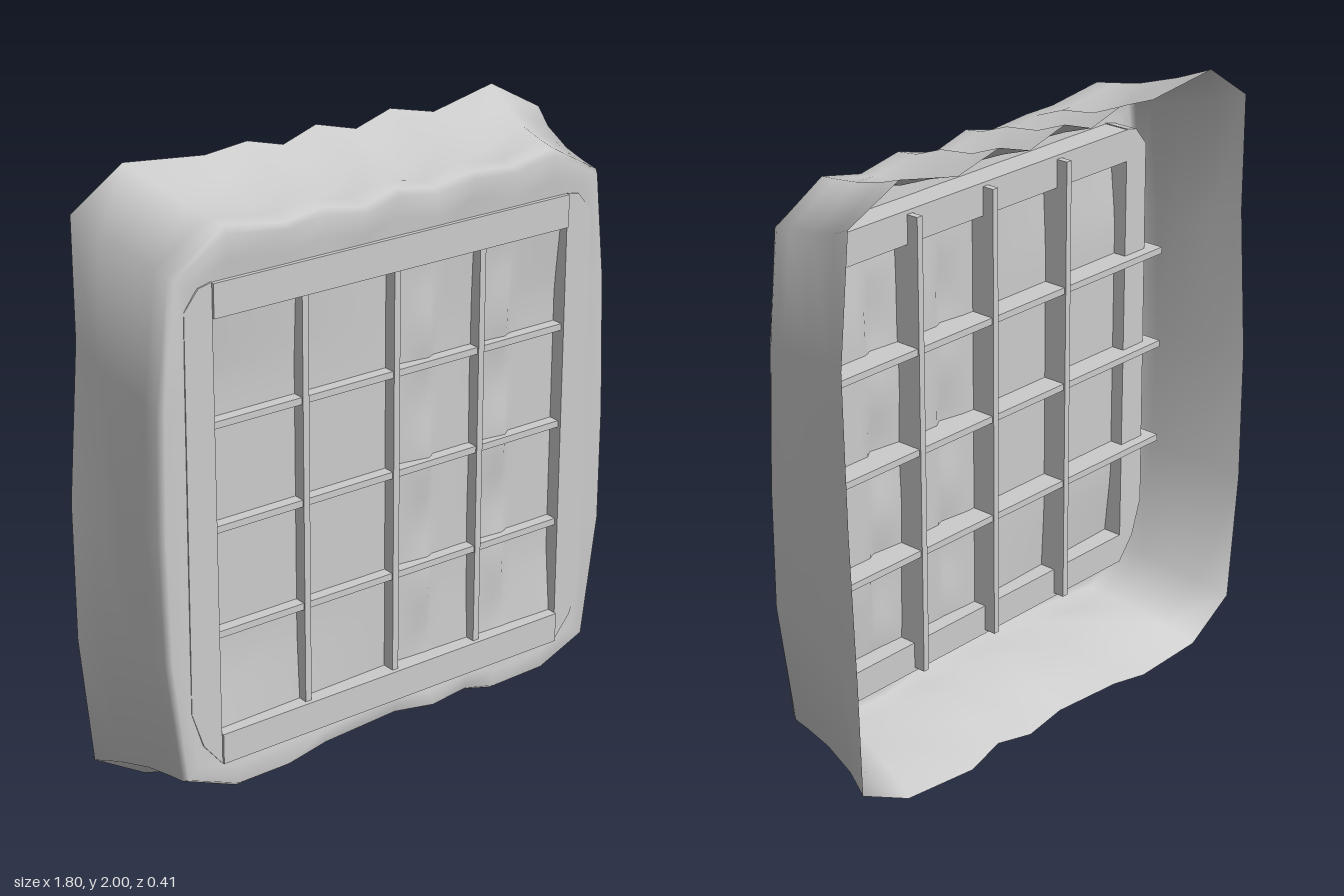
import * as THREE from 'three';

const grey = new THREE.MeshStandardMaterial({ color: 0xcccccc, side: THREE.DoubleSide });

// Outline of the open back rim and of the front edge: matching [x, y] points
const backRim = [
  [-0.68, 2], [-0.4, 1.97], [-0.25, 1.985], [-0.12, 1.95], [0, 1.99], [0.15, 1.95], [0.28, 1.99],
  [0.45, 1.95], [0.68, 2], [0.86, 1.9], [0.9, 1.5], [0.89, 1], [0.87, 0.5], [0.86, 0.13],
  [0.69, 0.05], [0.41, 0.02], [0.29, 0.06], [0.14, 0.025], [0, 0.05], [-0.27, 0.03], [-0.42, 0],
  [-0.68, 0.01], [-0.86, 0.12], [-0.9, 0.55], [-0.9, 1], [-0.86, 1.5], [-0.86, 1.88],
];
const frontEdge = [
  [-0.6, 1.9], [-0.4, 1.87], [-0.25, 1.88], [-0.12, 1.86], [0, 1.89], [0.15, 1.86], [0.28, 1.89],
  [0.45, 1.87], [0.6, 1.9], [0.78, 1.8], [0.82, 1.45], [0.84, 1], [0.84, 0.62], [0.78, 0.21],
  [0.6, 0.13], [0.4, 0.125], [0.29, 0.15], [0.14, 0.15], [0, 0.165], [-0.27, 0.15], [-0.42, 0.13],
  [-0.6, 0.12], [-0.79, 0.2], [-0.84, 0.6], [-0.85, 1], [-0.84, 1.4], [-0.79, 1.79],
];

function box(name, w, h, x, y, zBack, zFront) {
  const mesh = new THREE.Mesh(new THREE.BoxGeometry(w, h, zFront - zBack), grey);
  mesh.position.set(x, y, (zBack + zFront) / 2);
  mesh.name = name;
  return mesh;
}

// Crumpled cover: rings lofted from the flared back rim, over the front edge, to the frame
function cover() {
  const n = backRim.length;
  // t: back rim to front edge, inset: front edge to frame opening
  const rings = [
    { t: 0, inset: 0, z: -0.205 }, { t: 0.4, inset: 0, z: -0.1 },
    { t: 0.75, inset: 0, z: 0.02, dent: 0.02 }, { t: 0.92, inset: 0, z: 0.12 },
    { t: 1, inset: 0, z: 0.18 }, { t: 1, inset: 0.1, z: 0.198 },
    { t: 1, inset: 0.5, z: 0.192, dent: 0.008 }, { t: 1, inset: 1, z: 0.185 },
  ];
  const pos = [], index = [];
  rings.forEach(({ t, inset, z, dent = 0 }, r) => {
    for (let j = 0; j < n; j++) {
      const [bx, by] = backRim[j], [fx, fy] = frontEdge[j];
      let x = THREE.MathUtils.lerp(bx, fx, t), y = THREE.MathUtils.lerp(by, fy, t);
      const ix = THREE.MathUtils.clamp(fx, -0.68, 0.68), iy = THREE.MathUtils.clamp(fy, 0.27, 1.7);
      x = THREE.MathUtils.lerp(x, ix, inset);
      y = THREE.MathUtils.lerp(y, iy, inset);
      // wrinkles only along the gathered top and bottom
      const gathered = Math.abs(bx) < 0.6;
      if (gathered) y += dent * (j % 2 ? -1 : 1);
      const side = bx > 0.8 && r === 0 ? 0.02 : 0;
      const ripple = gathered && r > 3 && r < 6 ? 0.012 * Math.sin(j * 2.3) : 0;
      pos.push(x, y, z + side + ripple);
    }
  });
  for (let r = 0; r < rings.length - 1; r++) {
    for (let j = 0; j < n; j++) {
      const a = r * n + j, b = r * n + (j + 1) % n;
      index.push(a, a + n, b, b, a + n, b + n);
    }
  }
  const geo = new THREE.BufferGeometry();
  geo.setAttribute('position', new THREE.Float32BufferAttribute(pos, 3));
  geo.setIndex(index);
  geo.computeVertexNormals();
  const mesh = new THREE.Mesh(geo, grey);
  mesh.name = 'crumpledCover';
  return mesh;
}

// Cloth stretched behind the bars, with two upright folds
function cloth() {
  const geo = new THREE.PlaneGeometry(1.38, 1.48, 46, 24);
  const p = geo.attributes.position;
  const fold = (x, from, to) => (x > from && x < to ? (x - from) / (to - from) : 0);
  for (let i = 0; i < p.count; i++) {
    const x = p.getX(i), y = p.getY(i);
    const wave = 0.5 + 0.5 * Math.cos(y * 15);
    const folds = fold(x, 0.05, 0.16) + fold(x, 0.3, 0.45);
    const lift = 0.03 * Math.max(0, Math.abs(y) - 0.45) * Math.abs(x) / 0.2;
    p.setZ(i, 0.145 + 0.022 * folds * wave + lift);
  }
  geo.computeVertexNormals();
  const mesh = new THREE.Mesh(geo, grey);
  mesh.position.y = 0.985;
  mesh.name = 'stretchedCloth';
  return mesh;
}

// Side board with clipped outer corners
function sideBoard(side) {
  const shape = new THREE.Shape([
    [0.655, 0.22], [0.655, 1.75], [0.7, 1.74], [0.75, 1.68], [0.76, 0.42], [0.72, 0.3],
  ].map(([x, y]) => new THREE.Vector2(side * x, y)));
  const mesh = new THREE.Mesh(new THREE.ExtrudeGeometry(shape, { depth: 0.095, bevelEnabled: false }), grey);
  mesh.position.z = 0.1;
  mesh.name = side > 0 ? 'leftBoard' : 'rightBoard';
  return mesh;
}

export function createModel() {
  const model = new THREE.Group();
  model.name = 'coveredWindow';
  model.add(cover(), cloth());

  // Frame boards
  const frame = new THREE.Group();
  frame.name = 'frame';
  frame.add(
    box('topBoard', 1.31, 0.105, 0, 1.695, 0.1, 0.203),
    box('bottomBoard', 1.31, 0.1, 0, 0.272, 0.1, 0.203),
    sideBoard(1), sideBoard(-1),
  );
  model.add(frame);

  // Lattice of bars, running on behind the boards
  const lattice = new THREE.Group();
  lattice.name = 'lattice';
  for (const x of [-0.33, 0.005, 0.33]) lattice.add(box('uprightBar', 0.022, 1.5, x, 0.985, 0.06, 0.188));
  for (const y of [0.645, 0.985, 1.312]) lattice.add(box('crossBar', 1.6, 0.022, 0, y, 0.065, 0.183));
  model.add(lattice);
  return model;
}
